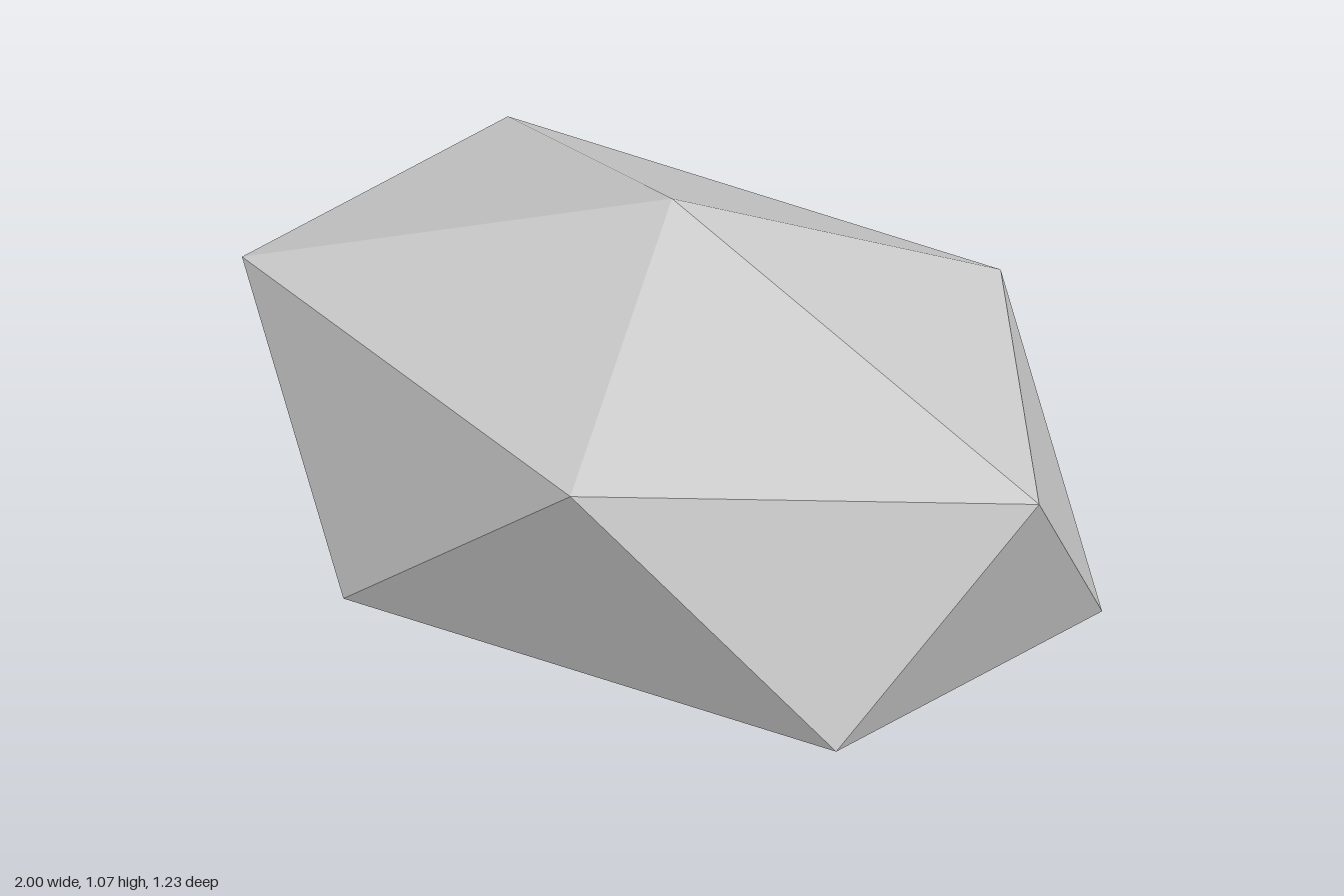
import * as THREE from 'three';

export function createModel() {
  const model = new THREE.Group();
  model.name = 'facetedStone';

  const stoneGrey = new THREE.MeshStandardMaterial({ color: 0xcccccc, flatShading: true });
  stoneGrey.name = 'stoneGrey';

  // Twenty-sided stone, tipped so that one corner points straight up
  // and one corner of its upper ring points to +x.
  const geometry = new THREE.IcosahedronGeometry(1, 0);
  geometry.rotateZ(-Math.atan(2 / (1 + Math.sqrt(5))));

  // Stretch along x, flatten in height and depth, then rest the tip on the ground.
  const ringRadius = 2 / Math.sqrt(5);
  const halfHeight = 0.537;
  geometry.scale(1 / ringRadius, halfHeight, 0.647 / ringRadius);
  geometry.translate(0, halfHeight, 0);
  geometry.computeVertexNormals();

  const stone = new THREE.Mesh(geometry, stoneGrey);
  stone.name = 'stone';
  model.add(stone);
  return model;
}
